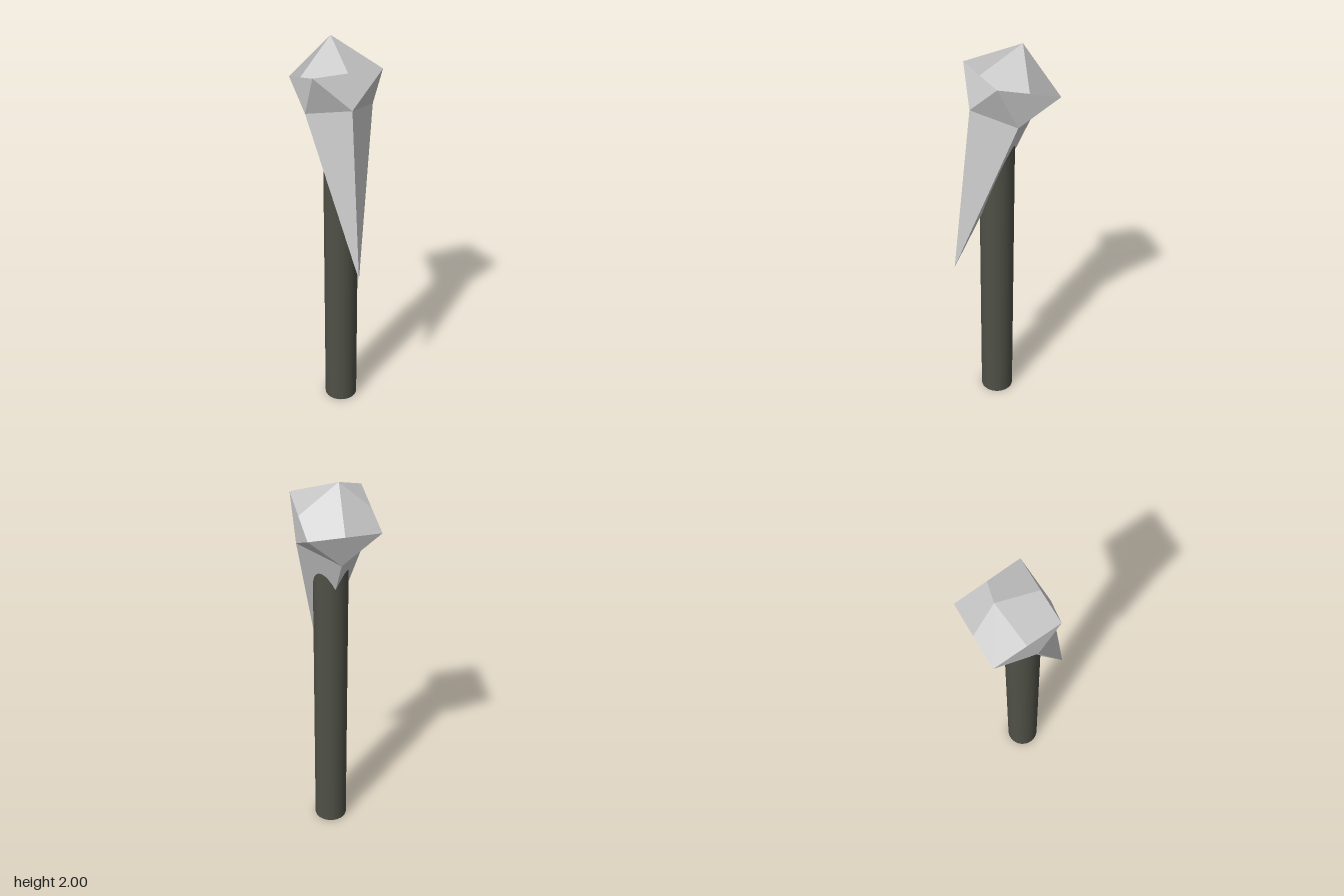
import * as THREE from 'three';

// Builds a faceted surface; every face (triangle or slightly bent quad) gets one shared normal
function facetedGeometry(faces) {
  const pos = [], nor = [];
  for (const f of faces) {
    const n = new THREE.Vector3();
    f.forEach((p, i) => n.add(p.clone().cross(f[(i + 1) % f.length])));
    n.normalize();
    for (let i = 1; i < f.length - 1; i++) {
      for (const p of [f[0], f[i], f[i + 1]]) {
        pos.push(p.x, p.y, p.z);
        nor.push(n.x, n.y, n.z);
      }
    }
  }
  const g = new THREE.BufferGeometry();
  g.setAttribute('position', new THREE.Float32BufferAttribute(pos, 3));
  g.setAttribute('normal', new THREE.Float32BufferAttribute(nor, 3));
  return g;
}

// Adds the mirror image of each face across x = 0
const mirrored = (faces) => faces.concat(
  faces.map((f) => f.map((p) => new THREE.Vector3(-p.x, p.y, p.z)).reverse())
    // keep the first corner first so quads split along the same diagonal
    .map((f) => [f[f.length - 1], ...f.slice(0, -1)]));

export function createModel() {
  const group = new THREE.Group();
  const v = (x, y, z) => new THREE.Vector3(x, y, z);

  // Post
  const bottom = 0, top = 1.65;
  const post = new THREE.Mesh(
    new THREE.CylinderGeometry(0.085, 0.085, top - bottom, 32),
    new THREE.MeshStandardMaterial({ color: 0x4f5046 }));
  post.name = 'post';
  post.position.y = (top + bottom) / 2;
  group.add(post);

  // Corners of the head, left half and centre line
  const w = 0.17;
  const apex = v(0, 2, -0.13);
  const front = v(w, 1.89, 0.087), frontMid = v(0, 1.89, 0.087);
  const back = v(w, 1.785, -0.238), backMid = v(0, 1.785, -0.238);
  const sideMid = front.clone().lerp(back, 0.5);
  const chin = v(0, 1.73, 0.14);
  const cheek = v(w, 1.68, -0.02);
  const nape = v(0, 1.62, -0.185);
  const tip = v(0, 0.88, 0.238);

  const head = new THREE.Mesh(facetedGeometry(mirrored([
    // cap
    [apex, frontMid, front, sideMid],
    [apex, sideMid, back, backMid],
    // faces tapering in below the cap
    [front, cheek, back],
    [front, frontMid, chin],
    [front, chin, cheek],
    [back, nape, backMid],
    [cheek, nape, back],
    // long spike
    [chin, tip, cheek],
    [cheek, tip, nape],
  ])), new THREE.MeshStandardMaterial({ color: 0xcccccc }));
  head.name = 'spikedHead';
  group.add(head);

  return group;
}
